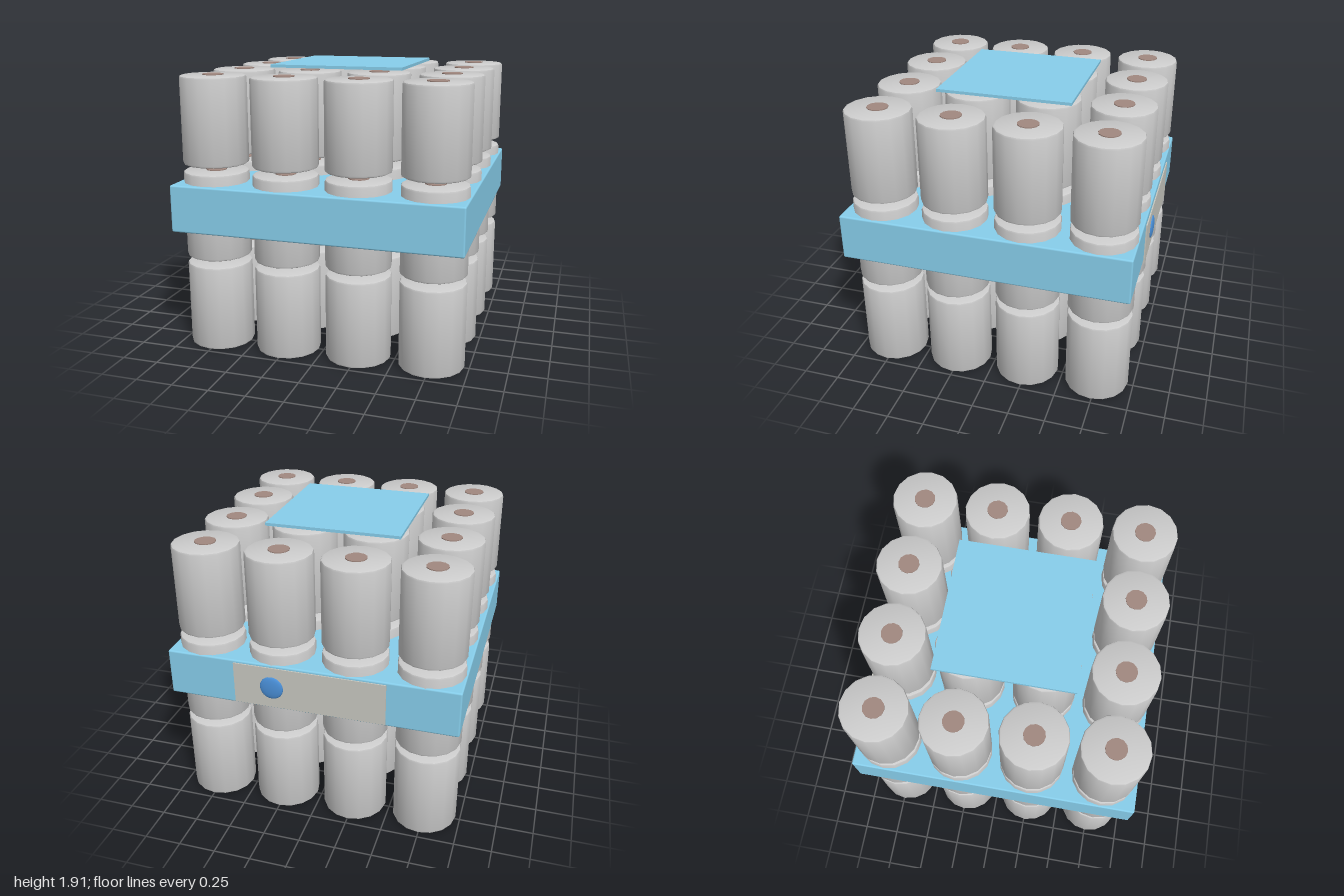
import * as THREE from 'three';
import { toCreasedNormals } from 'three/addons/utils/BufferGeometryUtils.js';
import { RoundedBoxGeometry } from 'three/addons/geometries/RoundedBoxGeometry.js';

const material = (color) => new THREE.MeshStandardMaterial({ color });
const grey = material(0xcccccc);
const blue = material(0x87ceeb);
const brown = material(0xa1887f);
const paper = material(0xc8c8c0);
const buttonBlue = material(0x4a90d9);

function addPart(parent, name, geometry, mat, x, y, z) {
  const mesh = new THREE.Mesh(geometry, mat);
  mesh.name = name;
  mesh.position.set(x, y, z);
  parent.add(mesh);
  return mesh;
}

export function createModel() {
  const model = new THREE.Group();
  model.name = 'cellPack';

  // Cell body: a drum with small chamfered rims
  const r = 0.22, h = 0.59, bevel = 0.017;
  const profile = [
    [0, 0], [r - bevel, 0], [r - 0.004, 0.006], [r, bevel],
    [r, h - bevel], [r - 0.004, h - 0.006], [r - bevel, h], [0, h],
  ].map(([x, y]) => new THREE.Vector2(x, y));
  const bodyGeometry = toCreasedNormals(new THREE.LatheGeometry(profile, 16), 0.6);
  const capGeometry = new THREE.CylinderGeometry(0.07, 0.07, 0.012, 12);

  // Three layers of four by four cells
  for (let layer = 0; layer < 3; layer++) {
    for (let row = 0; row < 4; row++) {
      for (let column = 0; column < 4; column++) {
        const cell = new THREE.Group();
        cell.name = 'cell';
        cell.position.set((column - 1.5) * 0.5, layer * 0.635, (row - 1.5) * 0.5 + 0.007);
        addPart(cell, 'cellBody', bodyGeometry, grey, 0, 0, 0);
        addPart(cell, 'cellTerminal', capGeometry, brown, 0, h, 0);
        model.add(cell);
      }
    }
  }

  // Tray around the middle layer
  addPart(model, 'middleTray', new RoundedBoxGeometry(1.96, 0.32, 1.965, 2, 0.012), blue, 0, 0.99, 0.015);

  // Thin plate floating above the centre
  addPart(model, 'topPlate', new THREE.BoxGeometry(0.915, 0.02, 0.915), blue, 0, 1.9, 0.015);

  // Label panel and domed button on the back
  addPart(model, 'backLabel', new THREE.BoxGeometry(1.02, 0.29, 0.008), paper, 0, 0.992, -0.978);
  const button = addPart(model, 'backButton', new THREE.SphereGeometry(0.08, 20, 12), buttonBlue, 0.25, 0.992, -0.982);
  button.scale.z = 0.2;

  return model;
}
